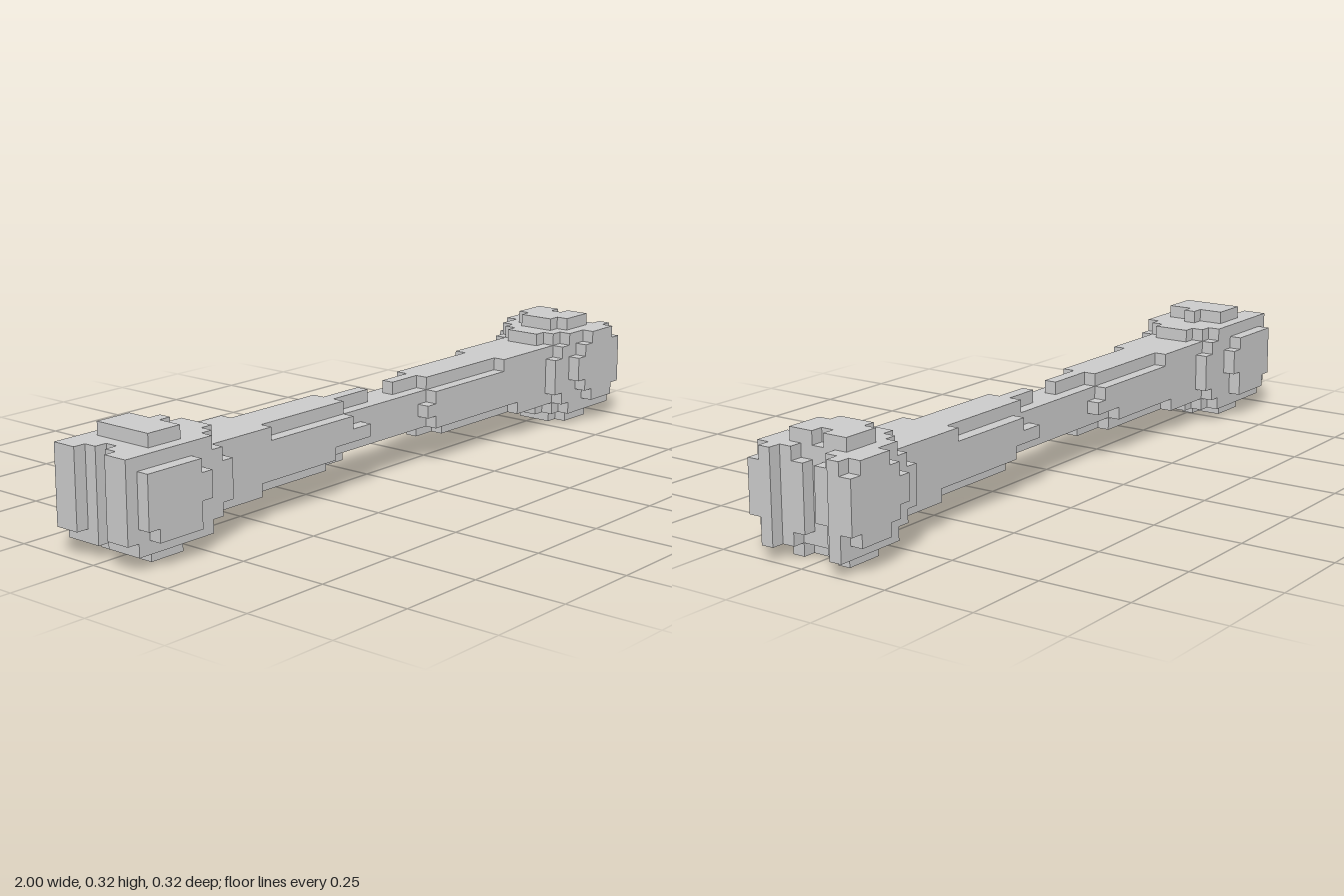
import * as THREE from 'three';

const U = 2 / 57; // one block; the model is 57 x 9 x 9 blocks

export function createModel() {
  const group = new THREE.Group();
  const grid = new Map();
  const key = (x, y, z) => `${x},${y},${z}`;
  // fill a row of blocks from x0 up to x1 (y 0..8, z -4..4)
  const fill = (part, y, z, x0, x1) => {
    for (let x = x0; x < x1; x++) if (!grid.has(key(x, y, z))) grid.set(key(x, y, z), part);
  };

  // heads: 7 x 7 blocks with a grooved outer end and rounded inner end
  for (let y = 1; y <= 7; y++) for (let z = -3; z <= 3; z++) {
    const dy = Math.abs(y - 4.5 + (y < 4.5 ? -0.5 : 0.5)), a = Math.abs(z);
    const edge = Math.abs(y - 4) === 3 || a === 3;
    const off = Math.abs(y - 4) === 3 ? a : Math.abs(y - 4);
    // left head
    let start = a >= 2 ? 0 : a === 1 ? 1 : 2;
    if (y === 1) start = Math.max(start, 1);
    fill('leftHead', y, z, start, edge ? 10 - Math.max(0, off - 1) : 10);
    // right head
    let end = a === 3 ? 57 : a > 0 ? 56 : 55;
    if ((y === 7 || y === 1 || (y === 2 && z < 0)) && a === 1) end = 55;
    fill('rightHead', y, z, edge && off === 3 ? 51 : edge && off === 2 ? 50 : 49, end);
  }

  // raised pads on the top, bottom, front and back of each head
  for (let z = -2; z <= 2; z++) {
    const a = Math.abs(z);
    for (const y of [0, 8]) {
      fill(y ? 'leftTopPad' : 'leftBottomPad', y, z, 3, a === 0 ? 7 : 6);
      const inner = y ? 0 : 1;
      fill(y ? 'rightTopPad' : 'rightBottomPad', y, z, a === 2 ? 52 : 51, a <= inner ? 54 : 55);
    }
  }
  const leftPad = [[2, 2, 6], [3, 1, 6], [4, 1, 7], [5, 1, 7], [6, 1, 6]];
  const rightPad = [[2, 53, 56], [3, 52, 57], [4, 51, 57], [5, 51, 57], [6, 52, 57], [7, 53, 56]];
  for (const s of [-1, 1]) {
    const side = s > 0 ? 'Front' : 'Back';
    for (const [y, x0, x1] of leftPad) fill(`left${side}Pad`, y, s * 4, x0, x1);
    for (const [y, x0, x1] of rightPad) fill(`right${side}Pad`, y, s * 4, x0, x1);
  }

  // shaft: 3 x 3 core with plates that thin out towards the middle
  const leftEnds = [
    [14, 22, 25, 22, 14], [22, 33, 33, 33, 22], [25, 33, 33, 33, 26],
    [24, 33, 33, 33, 24], [15, 24, 28, 24, 15],
  ];
  const rightStarts = [
    [45, 36, 34, 36, 45], [36, 33, 33, 33, 34], [33, 33, 33, 33, 33],
    [35, 33, 33, 33, 34], [43, 34, 31, 34, 43],
  ];
  for (let j = 0; j < 5; j++) for (let k = 0; k < 5; k++) {
    fill('shaft', j + 2, k - 2, 8, leftEnds[j][k]);
    fill('shaft', j + 2, k - 2, rightStarts[j][k], 51);
  }

  // skin: outer faces only, joined into strips along x
  const parts = {};
  const quad = (part, n, c) => {
    const p = (parts[part] ??= { pos: [], nor: [] });
    for (const i of [0, 1, 2, 0, 2, 3]) {
      const [x, y, z] = c[i];
      p.pos.push(x * U - 1, y * U, (z - 0.5) * U);
      p.nor.push(...n);
    }
  };
  const sides = [[1, 0], [-1, 0], [0, 1], [0, -1]];
  for (let y = 0; y < 9; y++) for (let z = -4; z <= 4; z++) {
    const at = (x) => grid.get(key(x, y, z));
    for (let x = 0; x < 57; x++) {
      if (!at(x)) continue;
      if (!at(x - 1)) quad(at(x), [-1, 0, 0], [[x, y, z], [x, y, z + 1], [x, y + 1, z + 1], [x, y + 1, z]]);
      if (!at(x + 1)) {
        const e = x + 1;
        quad(at(x), [1, 0, 0], [[e, y, z + 1], [e, y, z], [e, y + 1, z], [e, y + 1, z + 1]]);
      }
    }
    for (const [dy, dz] of sides) {
      const open = (x) => at(x) && !grid.has(key(x, y + dy, z + dz));
      for (let x = 0; x < 57; x++) {
        if (!open(x)) continue;
        const part = at(x);
        let e = x + 1;
        while (e < 57 && open(e) && at(e) === part) e++;
        const Y = y + (dy > 0 ? 1 : 0), Z = z + (dz > 0 ? 1 : 0);
        const c = dy
          ? [[x, Y, z + 1], [e, Y, z + 1], [e, Y, z], [x, Y, z]]
          : [[x, y, Z], [e, y, Z], [e, y + 1, Z], [x, y + 1, Z]];
        if (dy < 0 || dz < 0) c.reverse();
        quad(part, [0, dy, dz], c);
        x = e - 1;
      }
    }
  }

  const material = new THREE.MeshStandardMaterial({ color: 0xcccccc, flatShading: true });
  for (const [name, { pos, nor }] of Object.entries(parts)) {
    const geometry = new THREE.BufferGeometry();
    geometry.setAttribute('position', new THREE.Float32BufferAttribute(pos, 3));
    geometry.setAttribute('normal', new THREE.Float32BufferAttribute(nor, 3));
    const mesh = new THREE.Mesh(geometry, material);
    mesh.name = name;
    group.add(mesh);
  }
  return group;
}
